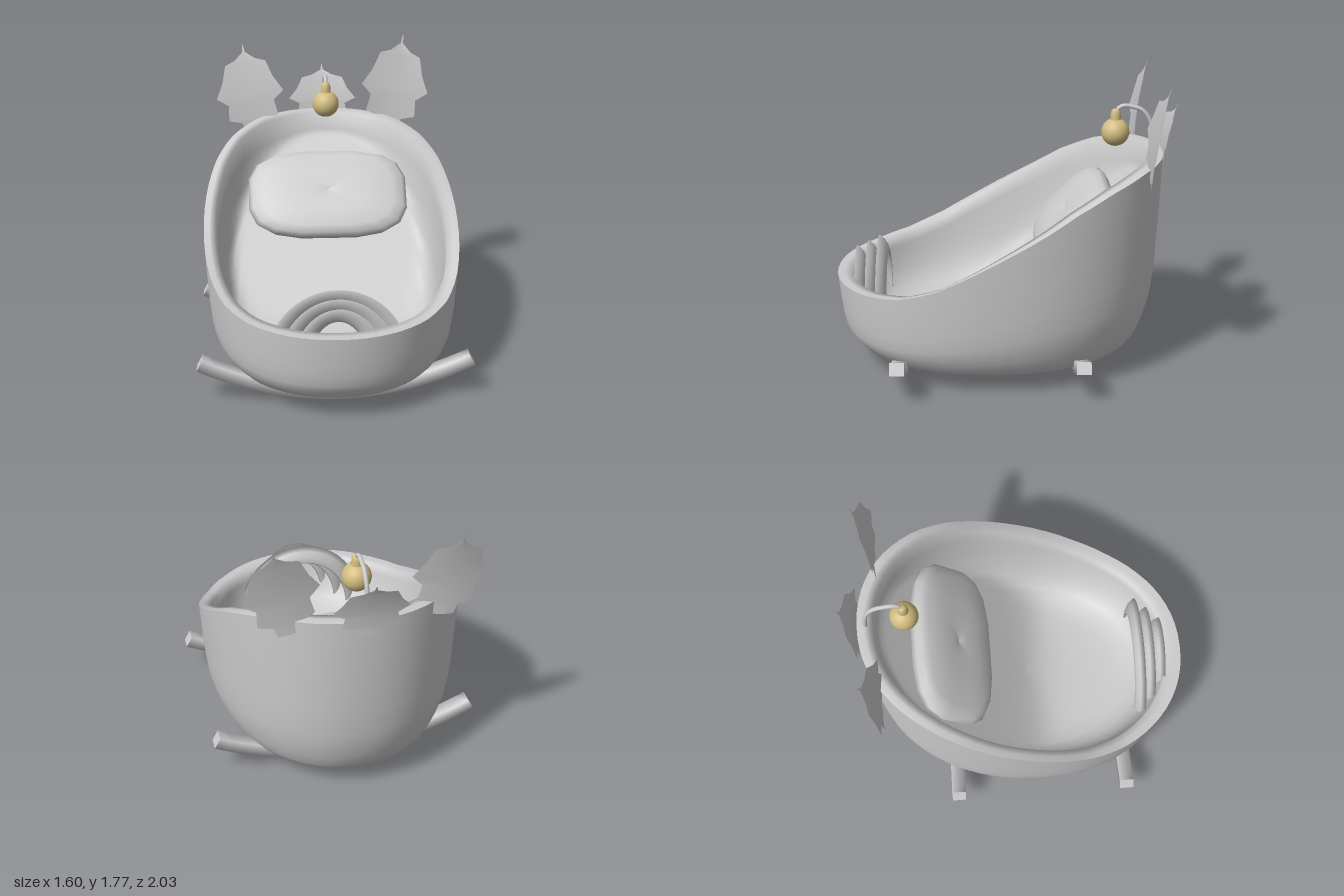
import * as THREE from 'three';

const grey = new THREE.MeshStandardMaterial({ color: 0xcccccc, side: THREE.DoubleSide });
grey.name = 'pale grey';
const gold = new THREE.MeshStandardMaterial({ color: 0xd1bc80 });
gold.name = 'soft gold';

function add(parent, name, geometry, material) {
  const mesh = new THREE.Mesh(geometry, material);
  mesh.name = name;
  parent.add(mesh);
  return mesh;
}

// Surface through nv loops of nu points, each loop closed
function loft(nu, nv, point) {
  const pos = [], index = [];
  for (let j = 0; j < nv; j++) for (let i = 0; i < nu; i++) pos.push(...point(i, j));
  for (let j = 0; j < nv - 1; j++) for (let i = 0; i < nu; i++) {
    const a = j * nu + i, b = j * nu + (i + 1) % nu;
    index.push(a, b, b + nu, a, b + nu, a + nu);
  }
  const g = new THREE.BufferGeometry();
  g.setAttribute('position', new THREE.Float32BufferAttribute(pos, 3));
  g.setIndex(index);
  g.computeVertexNormals();
  return g;
}

// Signed power, used to square off round outlines
const squared = (c, p) => Math.sign(c) * Math.pow(Math.abs(c), p);

// Rim height falls from the back to the front
const rimPoints = [[-0.94, 1.285], [-0.8, 1.265], [-0.6, 1.2], [-0.4, 1.105], [-0.2, 0.985], [0, 0.875],
  [0.2, 0.765], [0.4, 0.66], [0.6, 0.59], [0.8, 0.56], [1, 0.55]];
function rimHeight(z) {
  let k = 0;
  while (k < rimPoints.length - 2 && z > rimPoints[k + 1][0]) k++;
  const [z0, y0] = rimPoints[k], [z1, y1] = rimPoints[k + 1];
  return y0 + (y1 - y0) * (z - z0) / (z1 - z0);
}

// Sloping backrest running into a flat floor
function floorHeight(z) {
  const u = 0.13 - z;
  return 0.19 + 0.5 * (u + Math.sqrt(u * u + 0.02));
}

const softMax = (a, b) => 0.5 * (a + b + Math.sqrt((a - b) ** 2 + 0.004));

function tub(parent) {
  const N = 72;
  // [plan scale, share of the way from the base up to the rim]
  const outer = [[0, 0], [0.4, 0], [0.7, 0], [0.77, 0.012], [0.83, 0.045], [0.87, 0.09], [0.905, 0.16],
    [0.935, 0.24], [0.956, 0.33], [0.972, 0.48], [0.983, 0.66], [0.993, 0.84], [1, 1]];
  const inner = [[1, 1], [0.955, 1.003], [0.905, 0.995], [0.89, 0.85], [0.87, 0.68], [0.84, 0.5], [0.8, 0.34],
    [0.74, 0.2], [0.66, 0.1], [0.56, 0.03], [0.45, 0], [0.35, 0], [0.25, 0], [0.15, 0], [0.07, 0], [0, 0]];
  const build = (profile, base, inside) => loft(N, profile.length, (i, j) => {
    const a = (i / N) * Math.PI * 2, [s, k] = profile[j];
    const px = 0.76 * squared(Math.sin(a), 0.94), pz = 0.97 * squared(Math.cos(a), 0.94);
    const top = rimHeight(0.03 + pz), z = 0.03 + s * pz;
    let y = base + (top - base) * k;
    if (inside && j > 2) y = Math.min(top - 0.01 * (j - 2), softMax(y, floorHeight(z)));
    return [s * px, y, z];
  });
  add(parent, 'tubShell', build(outer, 0.09, false), grey);
  add(parent, 'tubRimAndLining', build(inner, 0.17, true), grey);
}

// Curved rocker bars under the tub, with flat ends
function runner(parent, name, z) {
  const corner = (i, t) => {
    const side = i === 1 || i === 2 ? 0.042 : -0.042;
    return i < 2 ? [0.765 * t, 0.08 + 0.185 * t * t, side] : [0.8 * t, 0.2 * t * t, side];
  };
  const group = new THREE.Group();
  group.name = name;
  group.position.z = z;
  parent.add(group);
  add(group, 'runnerBar', loft(4, 25, (i, j) => corner(i, -1 + j / 12)), grey);
  for (const t of [-1, 1]) {
    const cap = loft(4, 2, (i, j) => (j === (t + 1) / 2 ? [0.7825 * t, 0.2325, 0] : corner(i, t)));
    add(group, 'runnerEnd', cap, grey);
  }
}

// Cushion with a rounded-oblong outline and a dimpled middle
function pillow(parent) {
  const rings = [[0, -0.08], [0.7, -0.08], [0.95, -0.04], [1, 0.015], [0.95, 0.05], [0.82, 0.075],
    [0.5, 0.09], [0.15, 0.086], [0, 0.07]];
  const g = loft(16, rings.length, (i, j) => {
    const a = ((i + 0.5) / 16) * Math.PI * 2, [s, n] = rings[j];
    return [0.5 * s * squared(Math.cos(a), 0.63), 0.298 * s * squared(Math.sin(a), 0.63), n];
  });
  const m = add(parent, 'pillow', g, grey);
  m.position.set(0, 0.868, -0.42);
  m.rotation.x = -Math.PI / 4;
}

// Nested arched bands at the foot end
function arches(parent) {
  const section = [[0.06, 0], [0.03, -0.025], [0.008, -0.06], [0, -0.09], [0.006, -0.1], [0.04, -0.07]];
  const spec = [[0.695, 0.4, 0.435], [0.76, 0.335, 0.408], [0.828, 0.265, 0.38]];
  spec.forEach(([z, rx, ry], k) => {
    const g = loft(section.length, 33, (i, j) => {
      const a = (j / 32) * Math.PI, [dz, dr] = section[i];
      return [(rx + dr) * Math.cos(a), 0.3 + (ry + dr) * Math.sin(a), z + dz];
    });
    add(parent, 'footArch' + (k + 1), g, grey);
  });
}

// Spiky leaf folded along its midrib and curling backwards
function leaf(parent, name, x, y, z, width, height, lean) {
  const half = [[0.3, 0], [0.36, 0.1], [0.74, 0.15], [0.68, 0.33], [1, 0.43], [0.76, 0.6], [0.6, 0.79],
    [0.3, 0.83], [0.04, 0.91], [0.008, 1]];
  const pos = [], index = [], n = half.length;
  for (const [u, t] of half) for (const side of [-1, 0, 1]) {
    pos.push(side * u * width, t * height, -0.08 * t * t + Math.abs(side) * u * 0.025);
  }
  for (let i = 0; i < n - 1; i++) for (let k = 0; k < 2; k++) {
    const a = i * 3 + k;
    index.push(a, a + 1, a + 4, a, a + 4, a + 3);
  }
  const g = new THREE.BufferGeometry();
  g.setAttribute('position', new THREE.Float32BufferAttribute(pos, 3));
  g.setIndex(index);
  g.computeVertexNormals();
  const m = add(parent, name, g, grey);
  m.position.set(x, y, z);
  m.rotation.z = lean;
}

// Bauble hanging from a bent pipe
function lamp(parent) {
  const path = new THREE.CatmullRomCurve3([[1.24, -0.892], [1.38, -0.882], [1.47, -0.86], [1.525, -0.815],
    [1.542, -0.77], [1.552, -0.71], [1.535, -0.675], [1.5, -0.66]].map(([y, z]) => new THREE.Vector3(0, y, z)));
  add(parent, 'hookPipe', new THREE.TubeGeometry(path, 24, 0.013, 8), grey);
  add(parent, 'bauble', new THREE.SphereGeometry(0.083, 24, 16), gold).position.set(0, 1.393, -0.66);
  const cap = [[0.034, 1.455], [0.03, 1.49], [0.029, 1.51], [0.02, 1.53], [0, 1.535]];
  const g = new THREE.LatheGeometry(cap.map(([r, y]) => new THREE.Vector2(r, y)), 12);
  add(parent, 'baubleCap', g, gold).position.z = -0.66;
}

export function createModel() {
  const model = new THREE.Group();
  model.name = 'rockingTub';
  tub(model);
  runner(model, 'frontRunner', 0.61);
  runner(model, 'backRunner', -0.443);
  pillow(model);
  arches(model);
  leaf(model, 'rightLeaf', -0.445, 1.18, -0.825, 0.215, 0.55, 0.14);
  leaf(model, 'leftLeaf', 0.41, 1.19, -0.83, 0.215, 0.59, -0.17);
  leaf(model, 'middleLeaf', -0.01, 1.2, -0.945, 0.215, 0.355, 0);
  lamp(model);
  return model;
}
